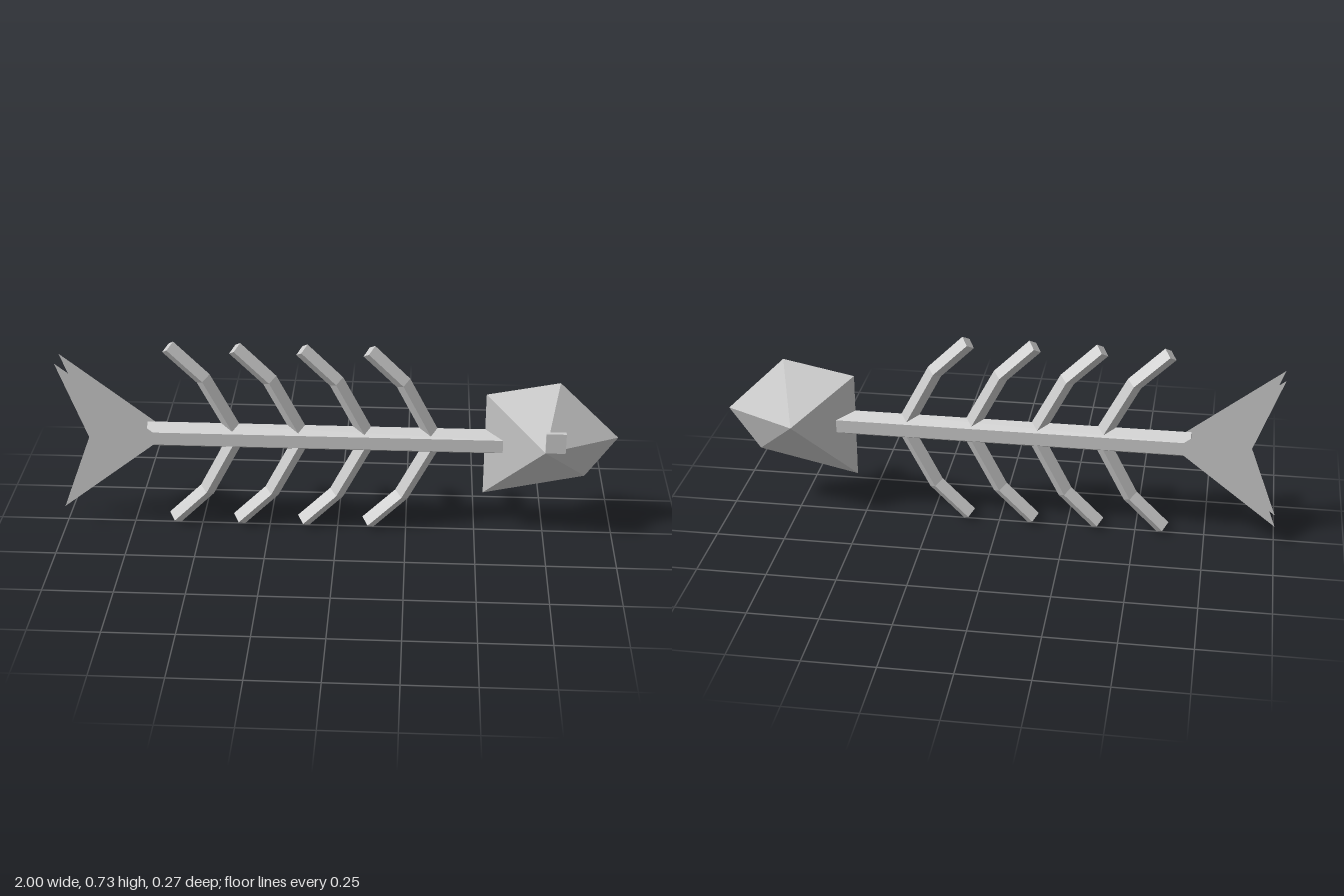
import * as THREE from 'three';

const MID = 0.367; // height of the spine axis

// Flat-faced geometry from a list of triangles made of Vector3 corners
function facets(tris) {
  const g = new THREE.BufferGeometry().setFromPoints(tris.flat());
  g.computeVertexNormals();
  return g;
}

// Bent rib with a diamond cross-section, swept along a three-point path
function ribGeometry() {
  const path = [[-0.362, 0], [-0.478, 0.223], [-0.6, 0.343]].map(p => new THREE.Vector2(...p));
  const half = 0.029, halfZ = 0.032;
  const dirs = [path[1].clone().sub(path[0]).normalize(), path[2].clone().sub(path[1]).normalize()];
  const tangents = [dirs[0], dirs[0].clone().add(dirs[1]).normalize(), dirs[1]];
  const rings = path.map((p, i) => {
    const nx = tangents[i].y * half, ny = -tangents[i].x * half;
    return [
      new THREE.Vector3(p.x + nx, p.y + ny, 0),
      new THREE.Vector3(p.x, p.y, halfZ),
      new THREE.Vector3(p.x - nx, p.y - ny, 0),
      new THREE.Vector3(p.x, p.y, -halfZ),
    ];
  });
  const tris = [];
  for (let r = 0; r < 2; r++) {
    for (let k = 0; k < 4; k++) {
      const n = (k + 1) % 4;
      const a = rings[r][k], b = rings[r][n], c = rings[r + 1][n], d = rings[r + 1][k];
      tris.push([a, c, b], [a, d, c]);
    }
  }
  const [s, e] = [rings[0], rings[2]];
  tris.push([s[0], s[1], s[2]], [s[0], s[2], s[3]], [e[0], e[2], e[1]], [e[0], e[3], e[2]]);
  return facets(tris);
}

// Head: a five-sided outline drawn out to a point on each side
function headGeometry() {
  const rim = [[0.527, 0.158], [0.89, 0.237], [1, 0.394], [0.785, 0.603], [0.527, 0.552]]
    .map(([x, y]) => new THREE.Vector3(x, y, 0));
  const front = new THREE.Vector3(0.735, 0.394, 0.136);
  const back = new THREE.Vector3(0.735, 0.394, -0.136);
  return facets(rim.flatMap((p, i) => {
    const q = rim[(i + 1) % rim.length];
    return [[front, p, q], [back, q, p]];
  }));
}

export function createModel() {
  const group = new THREE.Group();
  const bone = new THREE.MeshStandardMaterial({ color: 0xcccccc, flatShading: true, side: THREE.DoubleSide });
  bone.name = 'bone grey';

  const add = (name, geometry) => {
    const mesh = new THREE.Mesh(geometry, bone);
    mesh.name = name;
    group.add(mesh);
    return mesh;
  };

  // Hexagonal spine with flat sides and a ridge on top
  const spine = new THREE.CylinderGeometry(0.048, 0.048, 1.305, 6);
  spine.rotateY(Math.PI / 2).rotateZ(Math.PI / 2);
  add('spine', spine).position.set(-0.0325, MID, 0);

  // Four pairs of ribs, the lower ones mirrored
  const upper = ribGeometry();
  for (let i = 0; i < 4; i++) {
    for (const s of [1, -1]) {
      const rib = add(s > 0 ? 'upperRib' : 'lowerRib', upper);
      rib.position.set(i * 0.237, MID, 0);
      rib.scale.y = s;
    }
  }

  // Tail fin: two separate open sheets
  const fin = new THREE.Shape([[-0.63, MID], [-1, 0.655], [-0.893, MID], [-1, 0.08]]
    .map(p => new THREE.Vector2(...p)));
  for (const s of [1, -1]) {
    const sheet = new THREE.ShapeGeometry(fin);
    if (s < 0) sheet.setIndex([...sheet.index.array].reverse()).computeVertexNormals();
    add('tailFin', sheet).position.z = s * 0.042;
  }

  add('head', headGeometry());

  // Single square eye on the front side
  add('eye', new THREE.BoxGeometry(0.07, 0.075, 0.016)).position.set(0.77, 0.431, 0.127);

  return group;
}
